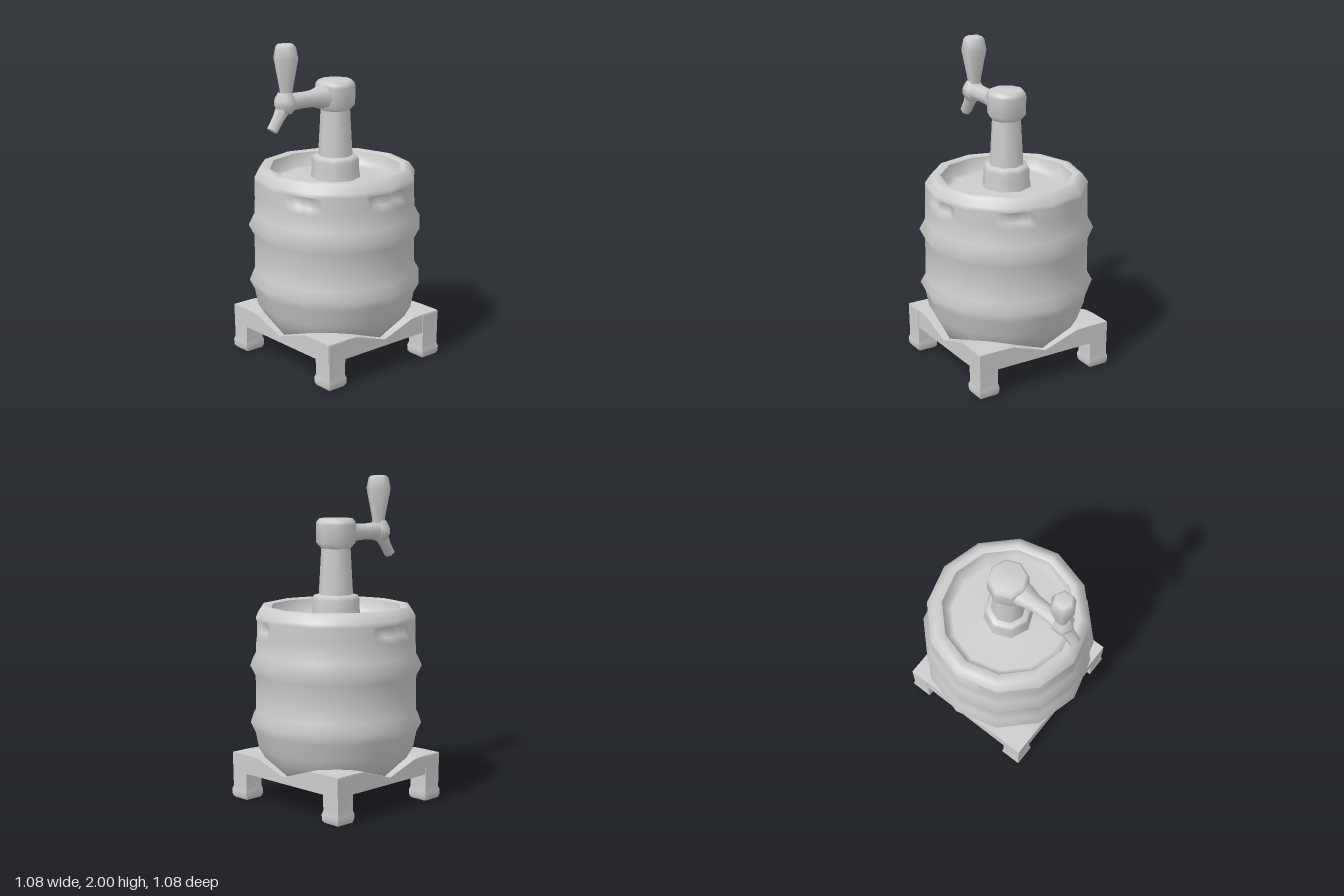
import * as THREE from 'three';

export function createModel() {
  const model = new THREE.Group();
  const steel = new THREE.MeshStandardMaterial({ color: 0xcccccc });
  steel.name = 'steel grey';

  const add = (name, geometry, parent = model) => {
    const mesh = new THREE.Mesh(geometry, steel);
    mesh.name = name;
    parent.add(mesh);
    return mesh;
  };
  const lathe = (profile, sides) =>
    new THREE.LatheGeometry(profile.map(([r, y]) => new THREE.Vector2(r, y)), sides);

  // Keg shell: twelve-sided, with two hoops and a rolled rim.
  // The third value is how deep that row sinks inside a hand grip.
  const shell = [
    [0, 0.2, 0], [0.41, 0.2, 0], [0.455, 0.29, 0], [0.49, 0.35, 0], [0.51, 0.45, 0],
    [0.54, 0.51, 0], [0.507, 0.57, 0], [0.505, 0.68, 0], [0.507, 0.8, 0], [0.54, 0.865, 0],
    [0.505, 0.93, 0], [0.5, 1.03, 0], [0.5, 1.065, 0.035], [0.5, 1.125, 0.05],
    [0.5, 1.14, 0], [0.5, 1.165, 0], [0.465, 1.215, 0], [0.435, 1.222, 0], [0.405, 1.212, 0],
  ];
  // Centre and half width of each grip, in degrees round from the front
  const grips = [[25, 13], [90, 17], [155, 13], [270, 17]];
  const keg = lathe(shell, 72);
  const pos = keg.attributes.position;
  const sunk = [];
  for (let i = 0; i < pos.count; i++) {
    const step = Math.floor(i / shell.length);
    const [r, y, depth] = shell[i % shell.length];
    const phi = step * 5;
    const off = THREE.MathUtils.degToRad((phi % 30) - 15);
    let radius = r * Math.cos(Math.PI / 12) / Math.cos(off);
    for (const [centre, half] of grips) {
      const weight = THREE.MathUtils.clamp((half - Math.abs(phi - centre)) / 6, 0, 1);
      radius -= depth * weight;
      if (weight > 0 && y > 1.04 && y < 1.13) sunk.push(i);
    }
    const a = THREE.MathUtils.degToRad(phi);
    pos.setXYZ(i, radius * Math.sin(a), y, radius * Math.cos(a));
  }
  // Round shading everywhere except inside the grips
  const faceted = keg.clone();
  faceted.computeVertexNormals();
  const fn = faceted.attributes.normal;
  for (const i of sunk) keg.attributes.normal.setXYZ(i, fn.getX(i), fn.getY(i), fn.getZ(i));
  add('kegShell', keg);

  // Recessed keg lid
  add('kegLid', lathe([[0.405, 1.212], [0.39, 1.14], [0.35, 1.125], [0.16, 1.145], [0, 1.15]], 12));

  // Stand plate: top dips at the middle of each side and rises to the corners
  const plate = new THREE.BoxGeometry(0.92, 0.12, 0.9, 12, 1, 12);
  plate.translate(0, 0.23, 0);
  const pp = plate.attributes.position;
  for (let i = 0; i < pp.count; i++) {
    if (pp.getY(i) < 0.2) continue;
    const near = Math.min(Math.abs(pp.getX(i)), Math.abs(pp.getZ(i)));
    pp.setY(i, 0.21 + 0.08 * Math.min(1, near / 0.24));
  }
  plate.computeVertexNormals();
  add('standPlate', plate);

  // Legs with swollen feet
  const legScale = [[0, 0.92], [0.015, 1.06], [0.05, 1.1], [0.075, 0.98], [0.285, 1.02]];
  for (const sx of [-1, 1]) for (const sz of [-1, 1]) {
    const leg = new THREE.BoxGeometry(0.125, 1, 0.125, 1, 4, 1);
    const lp = leg.attributes.position;
    for (let i = 0; i < lp.count; i++) {
      const [y, s] = legScale[Math.round((lp.getY(i) + 0.5) * 4)];
      lp.setXYZ(i, lp.getX(i) * s, y, lp.getZ(i) * s);
    }
    leg.computeVertexNormals();
    add('leg', leg).position.set(sx * 0.4, 0, sz * 0.385);
  }

  // Tap
  const tap = new THREE.Group();
  tap.name = 'tap';
  model.add(tap);
  add('columnBase', lathe([[0.155, 1.13], [0.145, 1.2], [0.145, 1.255], [0.135, 1.28], [0.1, 1.285]], 8), tap);
  add('column', lathe([[0.106, 1.27], [0.088, 1.6]], 8), tap);
  add('columnHead', lathe([[0.085, 1.56], [0.12, 1.6], [0.122, 1.71], [0.118, 1.73], [0.1, 1.748], [0, 1.752]], 8), tap);

  // Arm runs forward from the head
  const arm = add('arm', lathe([[0.08, 0.06], [0.072, 0.12], [0.053, 0.18], [0.05, 0.25], [0.056, 0.4]], 8), tap);
  arm.rotation.x = Math.PI / 2;
  arm.position.y = 1.655;

  add('valve', lathe([[0, 1.585], [0.045, 1.595], [0.07, 1.64], [0.066, 1.675], [0.042, 1.72]], 6), tap)
    .position.z = 0.39;
  add('handle', lathe([[0.038, 1.69], [0.043, 1.74], [0.078, 1.92], [0.064, 1.985], [0.05, 2], [0, 2]], 6), tap)
    .position.z = 0.38;

  // Spout slants down and forward, with a closed mouth
  const spout = add('spout', lathe([[0.05, 0], [0.037, 0.08], [0.035, 0.16], [0.03, 0.163], [0, 0.163]], 6), tap);
  spout.position.set(0, 1.635, 0.395);
  spout.quaternion.setFromUnitVectors(
    new THREE.Vector3(0, 1, 0), new THREE.Vector3(0, -0.82, 0.57).normalize());

  return model;
}
